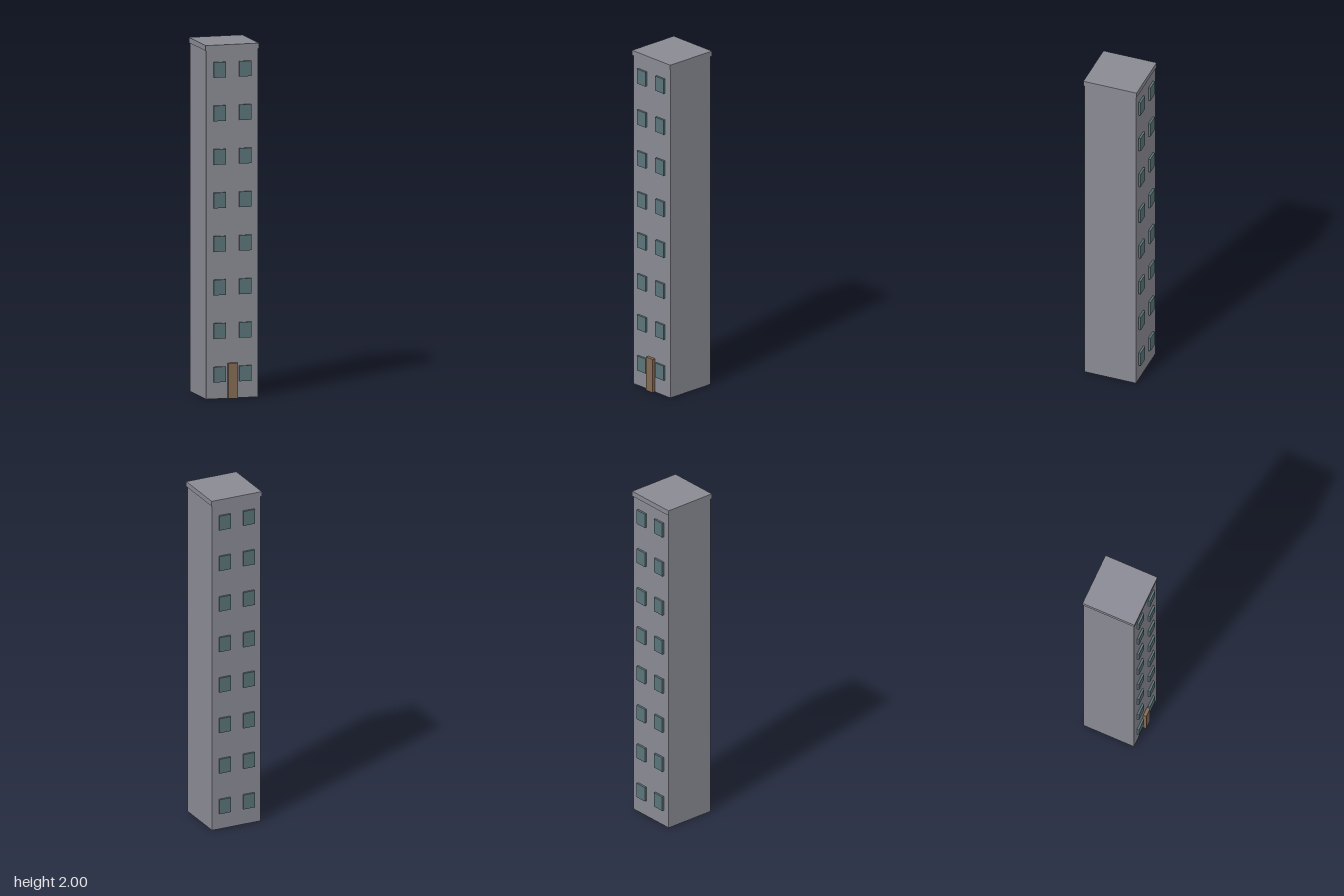
import * as THREE from 'three';

const wall = new THREE.MeshStandardMaterial({ color: 0x8a8a94 });
wall.name = 'wall grey';
const glass = new THREE.MeshStandardMaterial({ color: 0x5a747a });
glass.name = 'window teal';
const wood = new THREE.MeshStandardMaterial({ color: 0x846a54 });
wood.name = 'door brown';

const FLOORS = 8, FLOOR_STEP = 0.246, FIRST_WINDOW = 0.138;
const HALF_DEPTH = 0.154, CENTRE_Z = -0.004;

// Box given by its size and centre
function box(name, material, [w, h, d], [x, y, z]) {
  const mesh = new THREE.Mesh(new THREE.BoxGeometry(w, h, d), material);
  mesh.name = name;
  mesh.position.set(x, y, z);
  return mesh;
}

export function createModel() {
  const tower = new THREE.Group();
  tower.name = 'towerBlock';

  // Shaft and slightly overhanging roof slab
  tower.add(box('body', wall, [0.304, 1.975, HALF_DEPTH * 2], [0, 0.9875, CENTRE_Z]));
  tower.add(box('roofSlab', wall, [0.313, 0.03, 0.318], [0, 1.985, CENTRE_Z]));

  // Two columns of raised windows on the front and back
  for (const side of [1, -1]) {
    const windows = new THREE.Group();
    windows.name = side > 0 ? 'frontWindows' : 'backWindows';
    for (let floor = 0; floor < FLOORS; floor++) {
      for (const x of [-0.075, 0.075]) {
        const y = FIRST_WINDOW + floor * FLOOR_STEP;
        windows.add(box('window', glass, [0.07, 0.087, 0.024], [x, y, CENTRE_Z + side * HALF_DEPTH]));
      }
    }
    tower.add(windows);
  }

  // Entrance door, standing proud of the front wall
  tower.add(box('door', wood, [0.053, 0.2, 0.036], [0, 0.1, 0.151]));

  return tower;
}
